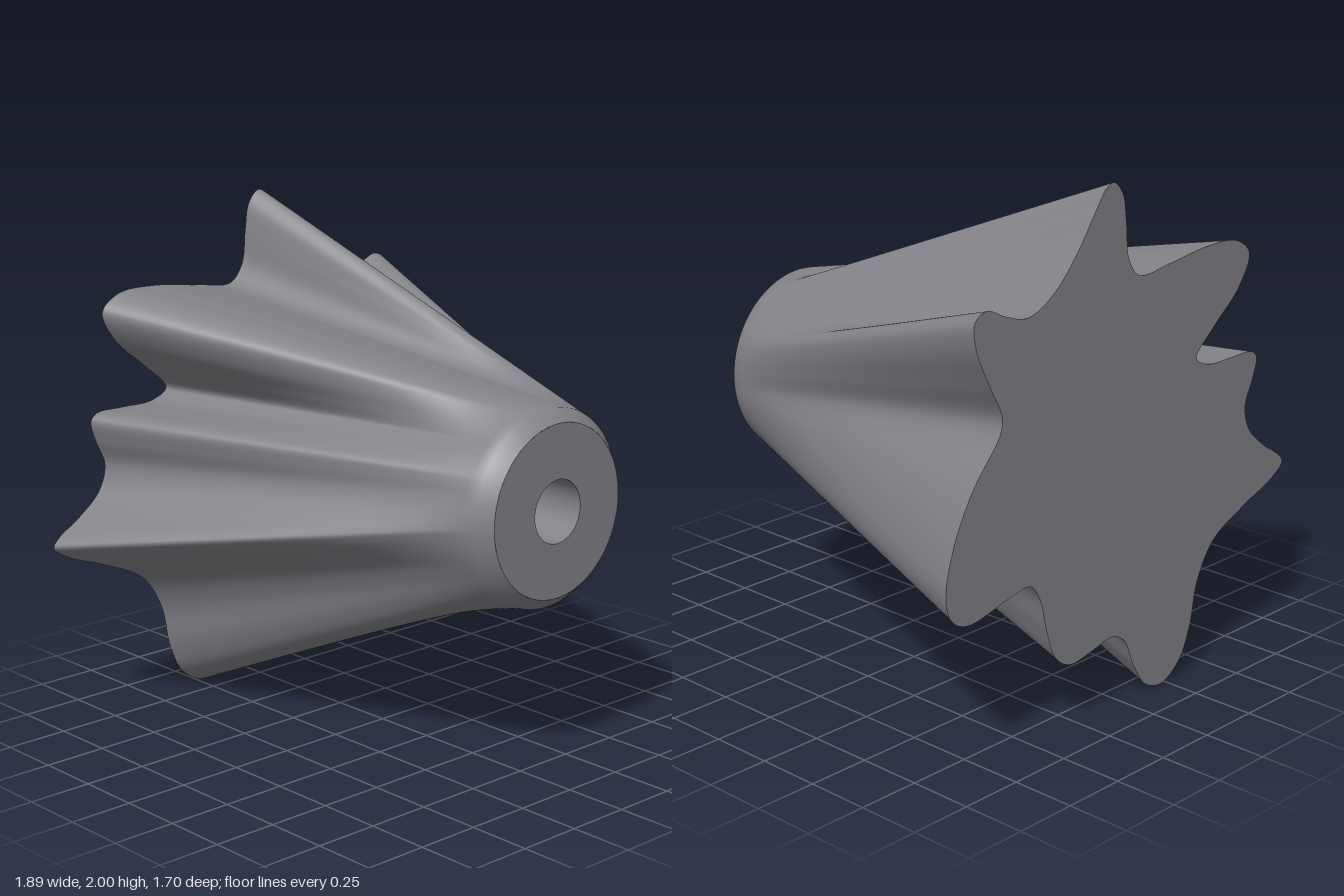
import * as THREE from 'three';

const CX = 0.07, CY = 1.01, R = 0.374;      // front axis and collar radius
const FACE_R = 0.328, BORE_R = 0.12, BORE_DEPTH = 0.6;
const BACK = -0.85, COLLAR = 0.8, FRONT = 0.85;

// Back outline, counter-clockwise. Each group starts at a lobe tip and
// gives the angle on the round collar (degrees) where that tip ends.
const lobes = [
  [60, [0.11, 2.0], [0.06, 1.95], [0.04, 1.85], [0.02, 1.71], [-0.04, 1.64], [-0.2, 1.65], [-0.42, 1.675], [-0.6, 1.665]],
  [105, [-0.68, 1.6], [-0.62, 1.48], [-0.48, 1.36], [-0.38, 1.26], [-0.45, 1.22], [-0.6, 1.215], [-0.72, 1.21]],
  [153, [-0.75, 1.18], [-0.73, 1.1], [-0.69, 1.0], [-0.72, 0.9], [-0.82, 0.81], [-0.92, 0.745]],
  [181, [-0.945, 0.71], [-0.88, 0.66], [-0.7, 0.59], [-0.52, 0.5], [-0.43, 0.36], [-0.39, 0.18], [-0.33, 0.06]],
  [228, [-0.23, 0.0], [-0.13, 0.03], [-0.06, 0.13], [0.0, 0.25], [0.07, 0.285], [0.18, 0.265]],
  [270, [0.3, 0.25], [0.38, 0.3], [0.43, 0.42], [0.47, 0.56], [0.52, 0.62], [0.62, 0.61]],
  [308, [0.84, 0.57], [0.915, 0.61]],
  [319, [0.945, 0.7], [0.905, 0.88], [0.81, 1.06], [0.68, 1.22], [0.67, 1.28], [0.73, 1.4], [0.8, 1.55]],
  [377, [0.805, 1.64], [0.75, 1.67], [0.65, 1.63], [0.54, 1.605], [0.42, 1.66], [0.3, 1.78], [0.2, 1.92], [0.15, 1.985]],
];

// Smooth outline points, each with its matching collar angle
function sampleOutline(steps) {
  const knots = lobes.flatMap(([, ...pts]) => pts.map(([x, y]) => new THREE.Vector3(x, y, 0)));
  const curve = new THREE.CatmullRomCurve3(knots, true, 'centripetal');
  const samples = [];
  let first = 0;
  lobes.forEach(([angle, ...pts], k) => {
    const next = k + 1 < lobes.length ? lobes[k + 1][0] : lobes[0][0] + 360;
    const n = pts.length * steps;
    const run = [], length = [0];
    for (let i = 0; i <= n; i++) {
      run.push(curve.getPoint(((first + i / steps) / knots.length) % 1));
      if (i) length.push(length[i - 1] + run[i].distanceTo(run[i - 1]));
    }
    for (let i = 0; i < n; i++) {
      const a = THREE.MathUtils.degToRad(angle + (next - angle) * length[i] / length[n]);
      samples.push({ x: run[i].x, y: run[i].y, a });
    }
    first += pts.length;
  });
  return samples;
}

// Straight loft from the wavy outline to the round collar, closed by a
// softly shaded chamfer that runs on to the front face
function loft(samples, rows) {
  const n = samples.length, position = [], index = [];
  const { lerp } = THREE.MathUtils;
  for (let j = 0; j <= rows; j++) {
    const t = j / rows;
    for (const { x, y, a } of samples) {
      position.push(lerp(x, CX + R * Math.cos(a), t), lerp(y, CY + R * Math.sin(a), t), lerp(BACK, COLLAR, t));
    }
  }
  for (const { a } of samples) {
    position.push(CX + FACE_R * Math.cos(a), CY + FACE_R * Math.sin(a), FRONT);
  }
  for (let j = 0; j <= rows; j++) {
    for (let i = 0; i < n; i++) {
      const a = j * n + i, b = j * n + (i + 1) % n;
      index.push(a, b, b + n, a, b + n, a + n);
    }
  }
  const g = new THREE.BufferGeometry();
  g.setAttribute('position', new THREE.Float32BufferAttribute(position, 3));
  g.setIndex(index);
  g.computeVertexNormals();
  return g;
}

export function createModel() {
  const group = new THREE.Group();
  const darkGrey = new THREE.MeshStandardMaterial({ color: 0x838288 });
  const inner = new THREE.MeshStandardMaterial({ color: 0x838288, side: THREE.BackSide });
  const add = (name, geometry, material = darkGrey) => {
    const mesh = new THREE.Mesh(geometry, material);
    mesh.name = name;
    group.add(mesh);
  };
  const samples = sampleOutline(7);

  add('flutedBody', loft(samples, 32));

  // Flat back, turned to face -z
  const outline = new THREE.Shape(samples.map(({ x, y }) => new THREE.Vector2(-x, y)));
  add('backFace', new THREE.ShapeGeometry(outline).rotateY(Math.PI).translate(0, 0, BACK));

  // Flat front with a blind bore
  add('frontFace', new THREE.RingGeometry(BORE_R, FACE_R, 96).translate(CX, CY, FRONT));
  add('boreWall', new THREE.CylinderGeometry(BORE_R, BORE_R, BORE_DEPTH, 96, 1, true)
    .rotateX(Math.PI / 2).translate(CX, CY, FRONT - BORE_DEPTH / 2), inner);
  add('boreFloor', new THREE.CircleGeometry(BORE_R, 96).translate(CX, CY, FRONT - BORE_DEPTH));

  return group;
}
